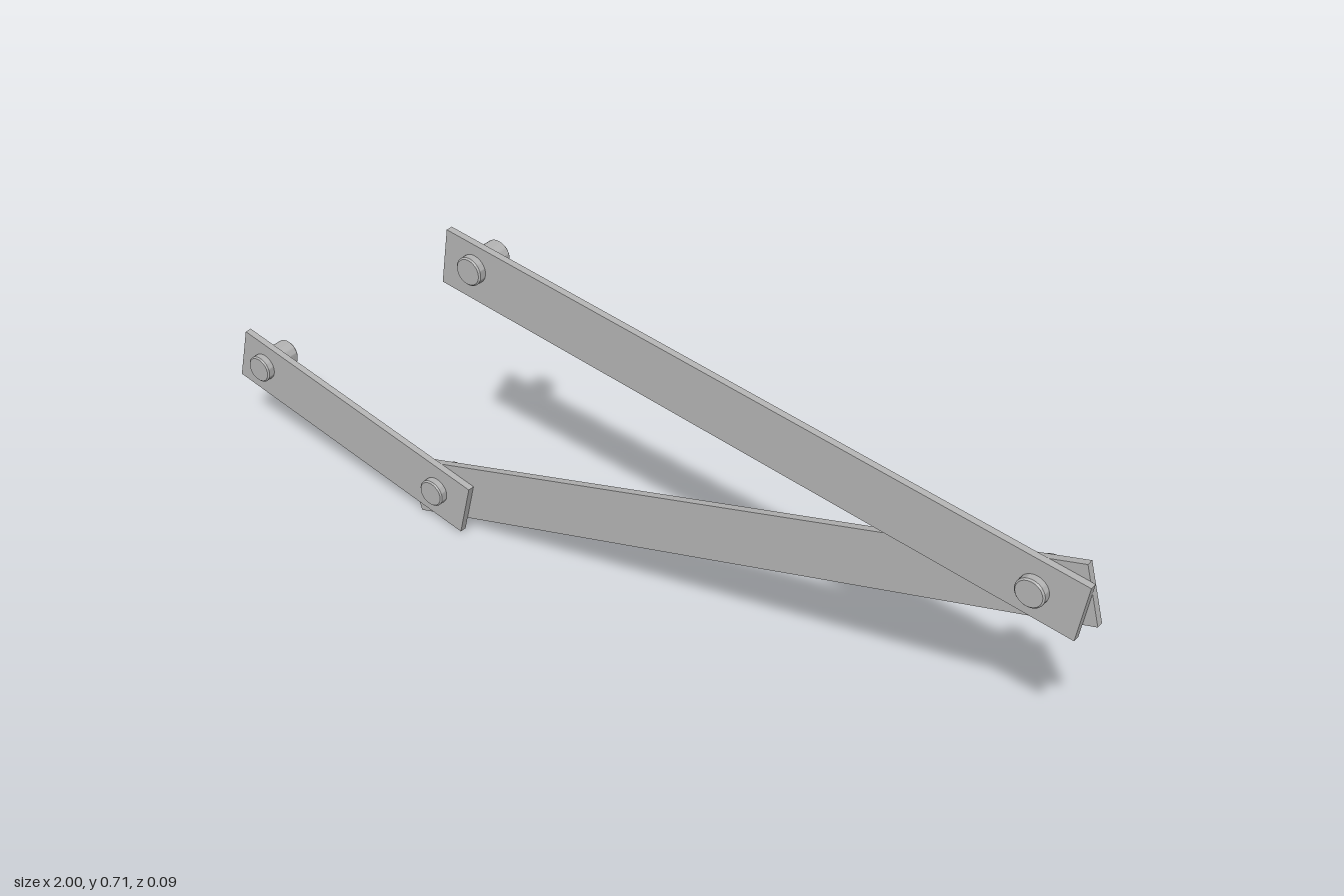
import * as THREE from 'three';
import { toCreasedNormals } from 'three/addons/utils/BufferGeometryUtils.js';

const BAR_WIDTH = 0.119;
const BAR_DEPTH = 0.0145;

export function createModel() {
  const model = new THREE.Group();
  model.name = 'linkage';
  const steel = new THREE.MeshStandardMaterial({ color: 0xb4b4b4 });
  steel.name = 'grey steel';

  // Flat bar between the middles of its two square ends
  function addBar(name, x0, y0, x1, y1, z) {
    const length = Math.hypot(x1 - x0, y1 - y0);
    const bar = new THREE.Mesh(new THREE.BoxGeometry(length, BAR_WIDTH, BAR_DEPTH), steel);
    bar.name = name;
    bar.position.set((x0 + x1) / 2, (y0 + y1) / 2, z);
    bar.rotation.z = Math.atan2(y1 - y0, x1 - x0);
    model.add(bar);
  }

  addBar('crankBar', -0.985, 0.2075, -0.3735, 0.0655, 0.0218);
  addBar('couplerBar', -0.5225, 0.058, 0.981, 0.492, 0.0072);
  addBar('rockerBar', -0.3935, 0.6515, 0.9745, 0.4585, 0.0218);

  // Pivot pins with a slight chamfer at both ends
  const radius = 0.029, chamfer = 0.003, back = -0.044, front = 0.046;
  const circle = new THREE.Shape().absarc(0, 0, radius - chamfer, 0, Math.PI * 2);
  const pinGeometry = toCreasedNormals(new THREE.ExtrudeGeometry(circle, {
    depth: front - back - 2 * chamfer,
    curveSegments: 32,
    bevelThickness: chamfer,
    bevelSize: chamfer,
    bevelSegments: 1,
  }), Math.PI / 6);

  const pins = {
    crankGroundPin: [-0.925, 0.197],
    crankCouplerPin: [-0.45, 0.084],
    couplerRockerPin: [0.883, 0.469],
    rockerGroundPin: [-0.322, 0.649],
  };
  for (const [name, [x, y]] of Object.entries(pins)) {
    const pin = new THREE.Mesh(pinGeometry, steel);
    pin.name = name;
    pin.position.set(x, y, back + chamfer);
    model.add(pin);
  }
  return model;
}
